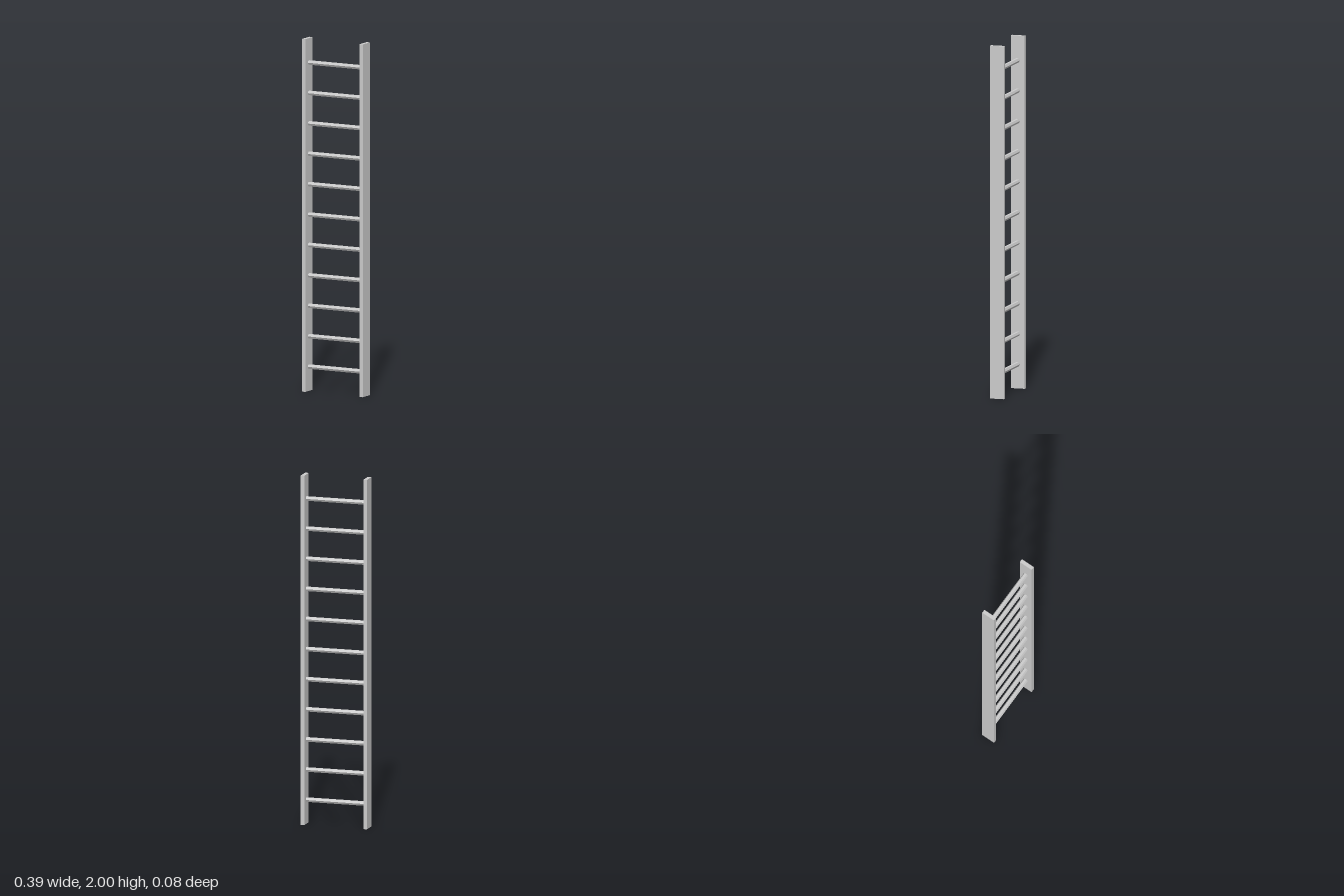
import * as THREE from 'three';

export function createModel() {
  const ladder = new THREE.Group();
  ladder.name = 'ladder';
  const material = new THREE.MeshStandardMaterial({ color: 0xcccccc, flatShading: true });

  const height = 2, halfWidth = 0.194, railThickness = 0.021, railDepth = 0.081;

  // Two upright side rails
  const railGeometry = new THREE.BoxGeometry(railThickness, height, railDepth);
  for (const side of [-1, 1]) {
    const rail = new THREE.Mesh(railGeometry, material);
    rail.name = side > 0 ? 'leftRail' : 'rightRail';
    rail.position.set(side * (halfWidth - railThickness / 2), height / 2, 0);
    ladder.add(rail);
  }

  // Evenly spaced hexagonal rungs, one corner facing front and one facing back
  const rungCount = 11, spacing = 0.1724;
  const rungLength = 2 * (halfWidth - railThickness);
  const rungGeometry = new THREE.CylinderGeometry(0.0135, 0.0135, rungLength, 6);
  rungGeometry.rotateZ(Math.PI / 2);
  for (let i = 0; i < rungCount; i++) {
    const rung = new THREE.Mesh(rungGeometry, material);
    rung.name = `rung${i + 1}`;
    rung.position.y = height / 2 + (i - (rungCount - 1) / 2) * spacing;
    ladder.add(rung);
  }
  return ladder;
}
